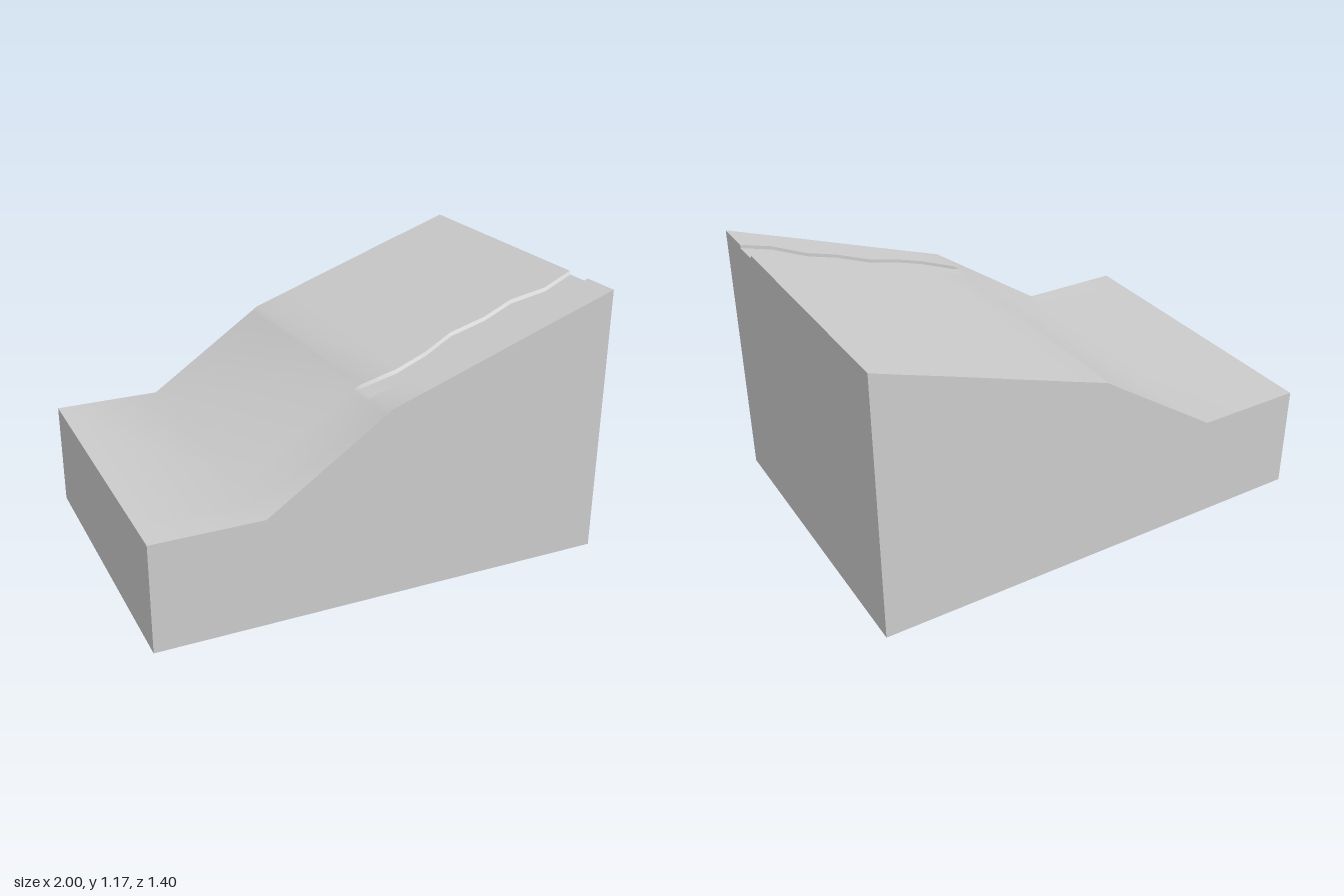
import * as THREE from 'three';
import { toCreasedNormals } from 'three/addons/utils/BufferGeometryUtils.js';

const HALF = 0.7;     // half depth of the block
const DEPTH = 0.015;  // depth of the stream bed
const WIDTH = 0.125;  // width of the stream bed

// Stations along x: [x, ground height, back edge of the channel, channel depth]
const stations = [
  [-1, 0.465, 0.415, 0],
  [-0.53, 0.465, 0.415, 0],
  [-0.03, 0.805, 0.415, 0],
  [0, 0.826, 0.42, DEPTH],
  [0.15, 0.878, 0.445, DEPTH],
  [0.29, 0.927, 0.43, DEPTH],
  [0.43, 0.976, 0.388, DEPTH],
  [0.58, 1.029, 0.405, DEPTH],
  [0.72, 1.078, 0.382, DEPTH],
  [0.86, 1.126, 0.425, DEPTH],
  [1, 1.175, 0.4, DEPTH],
];

// Closed cross-section of the block: up the back, over the ground and channel, down the front
function section([x, y, z, depth]) {
  return [
    [-HALF, 0], [-HALF, y],
    [z, y], [z + depth * 0.5, y - depth],
    [z + WIDTH, y - depth], [z + WIDTH, y],
    [HALF, y], [HALF, 0],
  ].map(([pz, py]) => new THREE.Vector3(x, py, pz));
}

function hillsideGeometry() {
  const loops = stations.map(section);
  const points = [];
  const area = new THREE.Triangle();
  const tri = (a, b, c) => {
    if (area.set(a, b, c).getArea() > 1e-8) points.push(a, b, c);
  };

  // Skin between neighbouring cross-sections
  for (let i = 0; i < loops.length - 1; i++) {
    const p = loops[i], q = loops[i + 1];
    for (let j = 0; j < p.length; j++) {
      const k = (j + 1) % p.length;
      tri(p[j], p[k], q[k]);
      tri(p[j], q[k], q[j]);
    }
  }

  // Low end: plain rectangle
  const low = loops[0];
  tri(low[0], low[7], low[6]);
  tri(low[0], low[6], low[1]);

  // High end: outline notched by the channel
  const high = loops[loops.length - 1];
  const outline = high.map((p) => new THREE.Vector2(-p.z, p.y));
  for (const [a, b, c] of THREE.ShapeUtils.triangulateShape(outline, [])) {
    tri(high[a], high[b], high[c]);
  }

  // Rolling ground is smooth, block edges and channel banks stay sharp
  const geometry = new THREE.BufferGeometry().setFromPoints(points);
  return toCreasedNormals(geometry, THREE.MathUtils.degToRad(40));
}

export function createModel() {
  const group = new THREE.Group();
  group.name = 'hillsideBlock';
  const hillside = new THREE.Mesh(
    hillsideGeometry(),
    new THREE.MeshStandardMaterial({ color: 0xcccccc })
  );
  hillside.name = 'hillsideWithStreamBed';
  group.add(hillside);
  return group;
}
